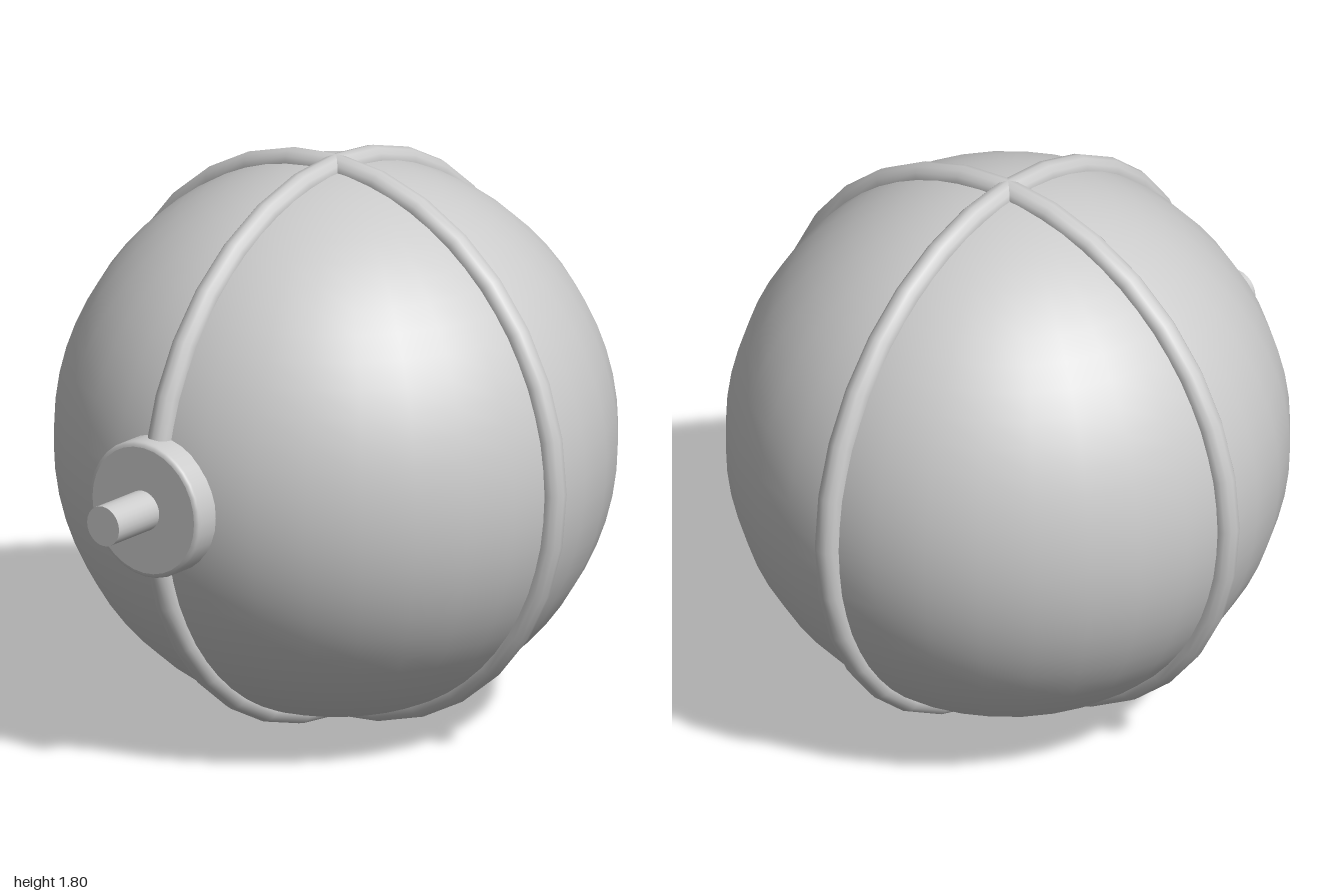
import * as THREE from 'three';

export function createModel() {
  const model = new THREE.Group();
  const material = new THREE.MeshStandardMaterial({ color: 0xcccccc });
  const radius = 0.858, tube = 0.04, height = radius + tube, offset = 0.102;

  const add = (name, geometry) => {
    const mesh = new THREE.Mesh(geometry, material);
    mesh.name = name;
    mesh.position.set(offset, height, 0);
    model.add(mesh);
    return mesh;
  };

  // Smooth round body
  add('sphereBody', new THREE.SphereGeometry(radius, 32, 32));

  // Two upright hoops crossing at the poles
  const hoop = new THREE.TorusGeometry(radius, tube, 12, 32);
  add('sideHoop', hoop);
  add('frontHoop', hoop).rotation.y = Math.PI / 2;

  // Parts on the right side, turned around the x axis; t is the small edge round
  const turned = (name, r, inner, outer, t, segments) => {
    const points = [[0, inner], [r, inner], [r, inner], [r, outer - t]];
    if (t) for (let i = 1; i <= 3; i++) {
      const a = (i / 3) * Math.PI / 2;
      points.push([r - t + t * Math.cos(a), outer - t + t * Math.sin(a)]);
    }
    else points.push([r, outer]);
    points.push([r - t, outer], [0, outer]);
    const geometry = new THREE.LatheGeometry(points.map(p => new THREE.Vector2(...p)), segments);
    add(name, geometry).rotation.z = Math.PI / 2;
  };
  turned('mountingDisc', 0.215, 0.7, 0.912, 0.015, 32);

  // Short shaft with a flat end
  const shaftEnd = 1 + offset;
  const shaft = add('shaft', new THREE.CylinderGeometry(0.063, 0.063, shaftEnd - 0.8, 24));
  shaft.rotation.z = Math.PI / 2;
  shaft.position.x = offset - (shaftEnd + 0.8) / 2;

  return model;
}
